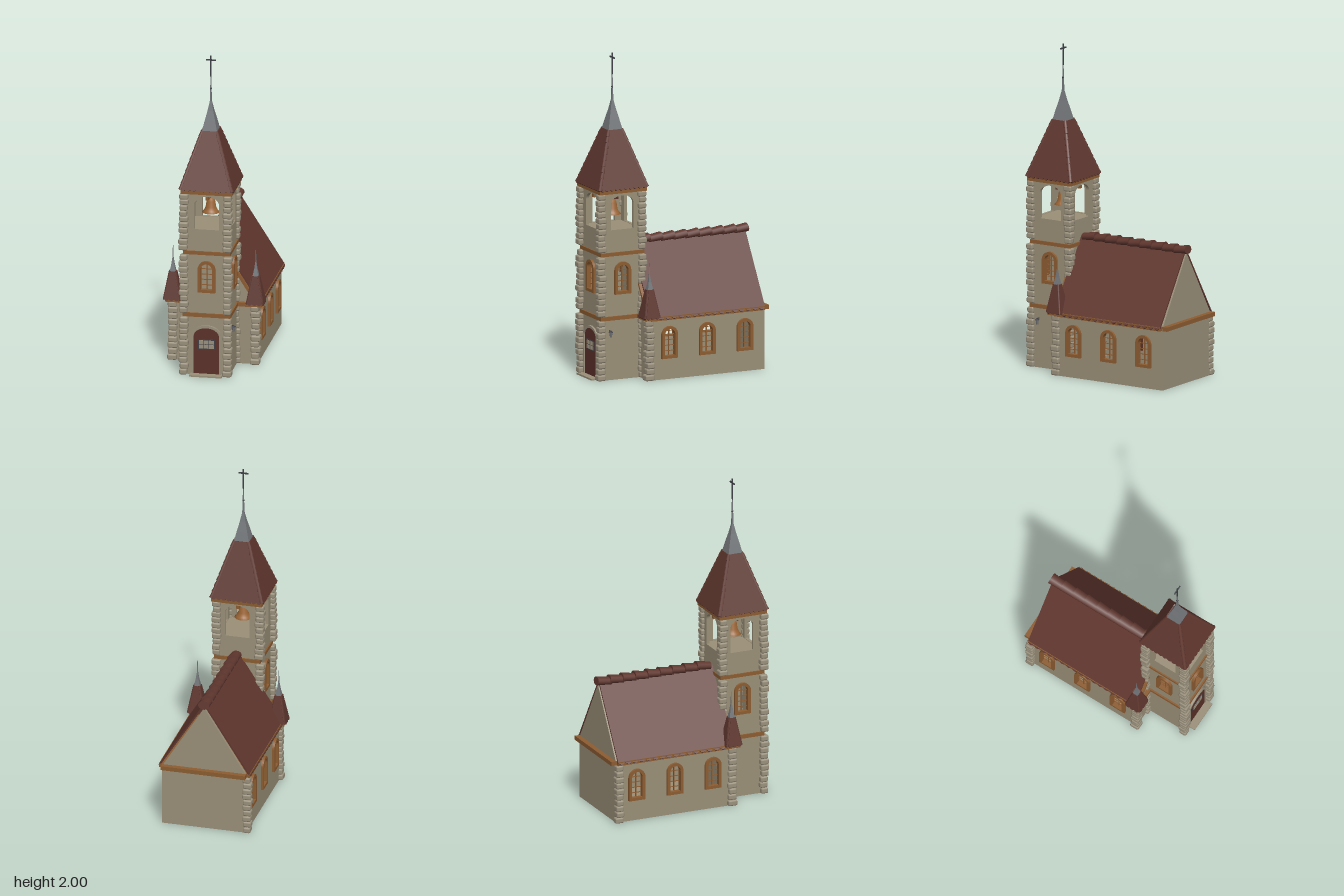
import * as THREE from 'three';
import { RoundedBoxGeometry } from 'three/addons/geometries/RoundedBoxGeometry.js';

const mat = (name, color) => Object.assign(new THREE.MeshStandardMaterial({ color }), { name });
const M = {
  wall: mat('plaster', 0x9a8f78), stone: mat('stone', 0x9b917d), tile: mat('roofTile', 0x60372f),
  wood: mat('wood', 0x8c5c31), steel: mat('steel', 0x74777a), door: mat('doorRed', 0x5c3029),
  iron: mat('iron', 0x3e4046), bell: mat('bronze', 0x9c6636),
};
let seed = 7;
const rnd = () => (seed = (seed * 16807) % 2147483647) / 2147483647;

function add(parent, name, geo, material, x = 0, y = 0, z = 0) {
  const m = new THREE.Mesh(geo, material);
  m.name = name;
  m.position.set(x, y, z);
  parent.add(m);
  return m;
}
function addGroup(parent, name, x = 0, y = 0, z = 0) {
  const g = new THREE.Group();
  g.name = name;
  g.position.set(x, y, z);
  parent.add(g);
  return g;
}
const box = (w, h, d) => new THREE.BoxGeometry(w, h, d);
const extrude = (shape, depth) => new THREE.ExtrudeGeometry(shape, { depth, bevelEnabled: false, curveSegments: 10 });
const flat = (geo) => { const g = geo.toNonIndexed(); g.computeVertexNormals(); return g; };

// Upright arch outline with an elliptical head
function arch(P, cx, hw, y0, y1, rise) {
  const p = new P();
  p.moveTo(cx - hw, y0);
  p.lineTo(cx + hw, y0);
  p.lineTo(cx + hw, y1 - rise);
  p.absellipse(cx, y1 - rise, hw, rise, 0, Math.PI, false, 0);
  p.lineTo(cx - hw, y0);
  return p;
}
const polygon = (pts) => new THREE.Shape(pts.map(([x, y]) => new THREE.Vector2(x, y)));

// Flat wall with openings; its outer face lies at z = dist, then it turns about y
function wall(parent, name, shape, dist, turn, holes = []) {
  shape.holes.push(...holes);
  add(parent, name, extrude(shape, 0.02).translate(0, 0, dist - 0.02), M.wall).rotation.y = turn;
}

// Arched window: raised surround, mullion and glazing bars
function archedWindow(parent, cx, y0, dist, turn) {
  const g = addGroup(parent, 'archedWindow');
  g.rotation.y = turn;
  const outer = arch(THREE.Shape, cx, 0.054, y0, y0 + 0.2, 0.054);
  outer.holes.push(arch(THREE.Path, cx, 0.035, y0 + 0.018, y0 + 0.182, 0.036));
  add(g, 'windowFrame', extrude(outer, 0.03), M.wood, 0, 0, dist - 0.014);
  add(g, 'mullion', box(0.005, 0.16, 0.008), M.wood, cx, y0 + 0.1, dist - 0.008);
  for (let i = 0; i < 4; i++)
    add(g, 'glazingBar', box(0.07, 0.004, 0.006), M.wood, cx, y0 + 0.045 + i * 0.034, dist - 0.008);
}
const windowHole = (cx, y0) => arch(THREE.Path, cx, 0.045, y0 + 0.01, y0 + 0.19, 0.045);

// Column of rounded corner stones
function quoins(parent, x, z, y0, y1, w = 0.052) {
  const g = addGroup(parent, 'cornerStones', x, 0, z);
  const n = Math.round((y1 - y0) / 0.036), h = (y1 - y0) / n;
  for (let i = 0; i < n; i++) {
    const sx = w * (0.88 + rnd() * 0.25), sz = w * (0.88 + rnd() * 0.25);
    add(g, 'stone', new RoundedBoxGeometry(sx, h * 0.98, sz, 1, 0.01), M.stone,
      (rnd() - 0.5) * 0.008, y0 + (i + 0.5) * h, (rnd() - 0.5) * 0.008);
  }
}

// Tiled slope hanging from a top edge, with a scalloped lower edge
function slope(parent, topHalf, botHalf, topY, botY, topOut, botOut, pitch, turn) {
  const rise = topY - botY, run = botOut - topOut, len = Math.hypot(rise, run);
  const s = new THREE.Shape();
  s.moveTo(topHalf, 0);
  s.lineTo(-topHalf, 0);
  s.lineTo(-botHalf, -len);
  const n = Math.round((2 * botHalf) / pitch), step = (2 * botHalf) / n;
  for (let i = 0; i < n; i++) {
    const x = -botHalf + i * step;
    s.quadraticCurveTo(x + step / 2, -len - step * 0.6, x + step, -len);
  }
  const geo = new THREE.ExtrudeGeometry(s, { depth: 0.01, bevelEnabled: false, curveSegments: 4 });
  geo.rotateX(-Math.atan2(run, rise)).translate(0, topY, topOut);
  add(parent, 'tiledSlope', geo, M.tile).rotation.y = turn;
}

// Four-sided roof with hip tiles
function hippedRoof(parent, topHalf, botHalf, topY, botY, pitch, hipR, hipCount) {
  const g = addGroup(parent, 'hippedRoof');
  for (let k = 0; k < 4; k++) {
    slope(g, topHalf, botHalf, topY, botY, topHalf, botHalf, pitch, k * Math.PI / 2);
    const sx = k % 2 ? 1 : -1, sz = k < 2 ? 1 : -1;
    const a = new THREE.Vector3(sx * botHalf, botY, sz * botHalf);
    const b = new THREE.Vector3(sx * topHalf, topY, sz * topHalf);
    const dir = b.clone().sub(a), len = dir.length() / hipCount;
    const q = new THREE.Quaternion().setFromUnitVectors(new THREE.Vector3(0, 1, 0), dir.clone().normalize());
    for (let i = 0; i < hipCount; i++) {
      const p = a.clone().addScaledVector(dir, (i + 0.5) / hipCount);
      add(g, 'hipTile', new THREE.CylinderGeometry(hipR * 0.75, hipR, len * 1.08, 8), M.tile, p.x, p.y, p.z).quaternion.copy(q);
    }
  }
}

// Square tapering metal cap; profile is [half width, y]
function spire(parent, profile) {
  const pts = profile.map(([h, y]) => new THREE.Vector2(h * Math.SQRT2, y));
  add(parent, 'metalSpire', flat(new THREE.LatheGeometry(pts, 4, Math.PI / 4)), M.steel);
}

function buildNave(root) {
  const nave = addGroup(root, 'nave', 0, 0, -0.14);
  const W = 0.265, D = 0.39, bays = [-0.255, 0, 0.255];
  add(nave, 'floor', box(2 * W, 0.01, 2 * D), M.wall, 0, 0.005, 0);
  for (const turn of [Math.PI / 2, -Math.PI / 2]) {
    wall(nave, 'sideWall', polygon([[-D, 0], [D, 0], [D, 0.38], [-D, 0.38]]), W, turn, bays.map((b) => windowHole(b, 0.13)));
    bays.forEach((b) => archedWindow(nave, b, 0.13, W, turn));
    slope(nave, 0.385, 0.385, 0.82, 0.385, 0, 0.278, 0.045, turn);
  }
  for (const turn of [0, Math.PI])
    wall(nave, 'gableWall', polygon([[-W, 0], [W, 0], [W, 0.385], [0, 0.808], [-W, 0.385]]), D, turn);
  add(nave, 'hangingScreen', box(0.01, 0.2, 0.14), M.door, 0, 0.26, 0);
  // Cornice under the eaves, projecting at the back
  add(nave, 'cornice', box(0.574, 0.024, 0.77), M.wood, 0, 0.383, 0);
  add(nave, 'backCornice', box(0.53, 0.026, 0.04), M.wood, 0, 0.383, -0.402);
  add(nave, 'frontCornice', box(0.46, 0.024, 0.03), M.wood, 0, 0.383, 0.398);
  // Verge boards on the front gable
  for (const s of [-1, 1])
    add(nave, 'vergeBoard', box(0.014, 0.5, 0.02), M.wood, s * 0.133, 0.592, 0.392).rotation.z = s * 0.569;
  // Overlapping ridge tiles
  for (let i = 0; i < 9; i++) {
    const geo = new THREE.CylinderGeometry(0.031, 0.036, 0.094, 14).rotateX(Math.PI / 2).scale(1, 0.75, 1);
    geo.rotateY(Math.PI);
    geo.rotateY(Math.PI);
    add(nave, 'ridgeTile', geo, M.tile, 0, 0.825, 0.31 - i * 0.083).rotation.x = 0.13;
  }
  quoins(root, -0.268, -0.513, 0, 0.37, 0.05);
}

function buildTurret(root, x) {
  quoins(root, x, 0.245, 0, 0.375, 0.055);
  const t = addGroup(root, 'cornerTurret', x, 0, 0.243);
  add(t, 'turretBase', box(0.086, 0.016, 0.086), M.wood, 0, 0.385, 0);
  hippedRoof(t, 0.014, 0.045, 0.565, 0.395, 0.03, 0.008, 5);
  spire(t, [[0.019, 0.56], [0.009, 0.61], [0.003, 0.655], [0.0012, 0.73]]);
}

function buildTower(root) {
  const tower = addGroup(root, 'tower', 0, 0, 0.37);
  const H = 0.138;
  add(tower, 'floor', box(2 * H, 0.01, 2 * H), M.wall, 0, 0.005, 0);
  for (let k = 0; k < 4; k++) {
    const turn = k * Math.PI / 2, holes = [arch(THREE.Path, 0, 0.076, 0.93, 1.14, 0.05)];
    if (k !== 2) {
      holes.push(windowHole(0, 0.53));
      archedWindow(tower, 0, 0.53, H, turn);
    }
    wall(tower, 'towerWall', polygon([[-H, 0], [H, 0], [H, 1.17], [-H, 1.17]]), H, turn, holes);
  }
  add(tower, 'belfryFloor', box(0.26, 0.015, 0.26), M.wall, 0, 0.92, 0);
  add(tower, 'lowerBand', box(0.296, 0.024, 0.296), M.wood, 0, 0.383, 0);
  add(tower, 'middleBand', box(0.292, 0.022, 0.292), M.wood, 0, 0.78, 0);
  add(tower, 'topBand', box(0.318, 0.024, 0.318), M.wood, 0, 1.17, 0);
  for (const x of [-0.141, 0.13])
    for (const z of [-0.133, 0.142]) {
      quoins(tower, x, z, 0, 0.372);
      quoins(tower, x, z, 0.396, 0.766);
      quoins(tower, x, z, 0.796, 1.158);
    }

  // Bell on its yoke
  const bell = [[0, 1.093], [0.02, 1.088], [0.027, 1.07], [0.032, 1.035], [0.042, 1.012], [0.054, 1], [0.045, 1], [0, 1.02]];
  add(tower, 'bell', new THREE.LatheGeometry(bell.reverse().map(([r, y]) => new THREE.Vector2(r, y)), 24), M.bell);
  add(tower, 'bellHanger', box(0.014, 0.03, 0.014), M.iron, 0, 1.1, 0);
  add(tower, 'bellYoke', box(0.13, 0.018, 0.025), M.door, 0, 1.112, 0);
  add(tower, 'bellBeam', box(0.02, 0.02, 0.26), M.wood, 0, 1.125, 0);

  // Roof, spire and cross
  hippedRoof(tower, 0.043, 0.158, 1.53, 1.185, 0.032, 0.014, 10);
  spire(tower, [[0.048, 1.525], [0.033, 1.59], [0.018, 1.65], [0.006, 1.71], [0.004, 1.78], [0.002, 1.89]]);
  for (const [y, r] of [[1.79, 0.007], [1.87, 0.005]])
    add(tower, 'spireKnob', new THREE.SphereGeometry(r, 10, 8), M.iron, 0, y, 0);
  add(tower, 'crossUpright', box(0.008, 0.13, 0.007), M.iron, 0, 1.935, 0);
  add(tower, 'crossBar', box(0.062, 0.008, 0.007), M.iron, 0, 1.972, 0);

  // Arched door with a small barred window, stone surround and step
  const surround = arch(THREE.Shape, 0, 0.09, 0, 0.318, 0.064);
  surround.holes.push(arch(THREE.Path, 0, 0.079, 0.004, 0.302, 0.055));
  add(tower, 'doorSurround', extrude(surround, 0.012), M.stone, 0, 0, H);
  add(tower, 'door', extrude(arch(THREE.Shape, 0, 0.08, 0, 0.303, 0.055), 0.007), M.door, 0, 0, H);
  add(tower, 'doorWindowFrame', box(0.104, 0.064, 0.004), M.iron, 0, 0.198, H + 0.008);
  for (let i = 0; i < 6; i++)
    add(tower, 'doorPane', box(0.028, 0.024, 0.004), M.stone, (i % 3 - 1) * 0.032, i < 3 ? 0.184 : 0.212, H + 0.01);
  add(tower, 'doorstep', box(0.2, 0.01, 0.055), M.wall, 0, 0.005, 0.163);

  // Lantern on the left side
  const lamp = addGroup(tower, 'lantern', H, 0.285, 0.085);
  add(lamp, 'lanternArm', box(0.022, 0.006, 0.006), M.iron, 0.01, 0.022, 0);
  add(lamp, 'lanternBody', new THREE.CylinderGeometry(0.011, 0.007, 0.03, 6), M.steel, 0.018, 0, 0);
  add(lamp, 'lanternCap', new THREE.ConeGeometry(0.016, 0.012, 6), M.iron, 0.018, 0.02, 0);
}

export function createModel() {
  const root = new THREE.Group();
  root.name = 'church';
  buildNave(root);
  for (const x of [-0.258, 0.254]) buildTurret(root, x);
  buildTower(root);
  return root;
}
